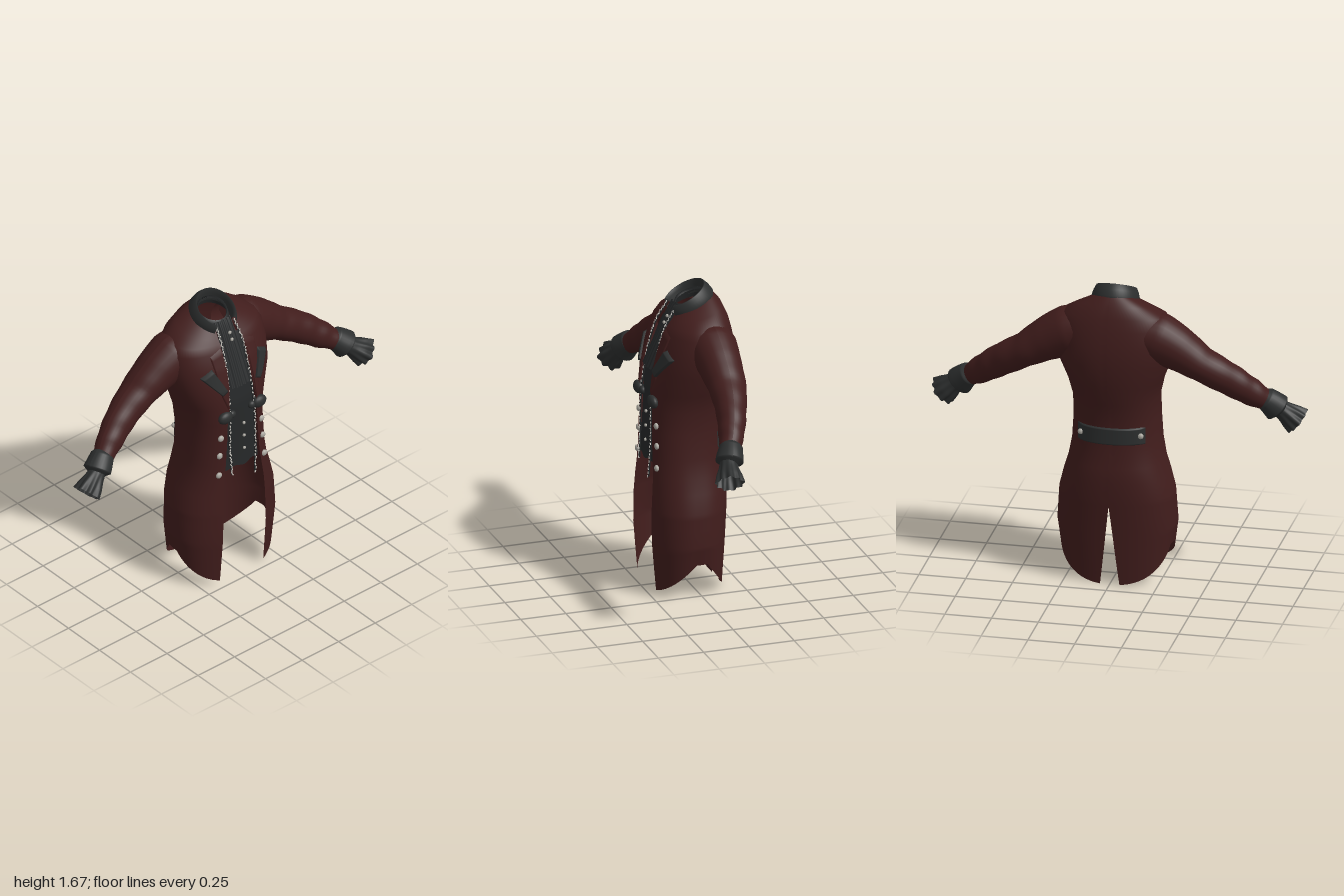
import * as THREE from 'three';

const V = (x, y, z) => new THREE.Vector3(x, y, z);
const lerp = THREE.MathUtils.lerp;
const E = 0.86; // roundness of the body cross-section

// Body sections: height, half width, front z, back z, half opening, tilt
const BODY = [
  [1.575, 0.115, 0.08, -0.14, 0.06, 0.33],
  [1.535, 0.2, 0.105, -0.175, 0.065, 0.24],
  [1.49, 0.275, 0.125, -0.2, 0.068, 0.1],
  [1.44, 0.3, 0.15, -0.217, 0.07, 0],
  [1.35, 0.31, 0.184, -0.234, 0.072, 0],
  [1.24, 0.3, 0.215, -0.238, 0.078, 0],
  [1.12, 0.252, 0.236, -0.222, 0.09, 0],
  [1.02, 0.228, 0.238, -0.198, 0.1, 0],
  [0.9, 0.228, 0.24, -0.172, 0.105, 0],
  [0.76, 0.237, 0.243, -0.172, 0.115, 0],
  [0.66, 0.255, 0.248, -0.188, 0.13, 0],
  [0.58, 0.28, 0.253, -0.196, 0.138, 0],
  [0.48, 0.305, 0.256, -0.192, 0.142, 0],
  [0.3, 0.317, 0.256, -0.18, 0.146, 0],
  [0, 0.3, 0.234, -0.163, 0.148, 0],
];

function section(y) {
  let i = 0;
  while (i < BODY.length - 2 && y < BODY[i + 1][0]) i++;
  const a = BODY[i], b = BODY[i + 1];
  const t = THREE.MathUtils.clamp((a[0] - y) / (a[0] - b[0]), 0, 1);
  return a.map((v, k) => lerp(v, b[k], t));
}

// Depth of the coat surface at x, y; side is 1 in front and -1 behind
function surfaceZ(x, y, side = 1) {
  const [, w, zf, zb] = section(y);
  const s = Math.min(1, Math.abs(x) / w) ** (1 / E);
  return (zf + zb) / 2 + side * ((zf - zb) / 2) * Math.sqrt(1 - s * s) ** E;
}

// Skin over rows of points
function loft(rows) {
  const n = rows[0].length, pos = [], idx = [];
  rows.forEach((r) => r.forEach((p) => pos.push(p.x, p.y, p.z)));
  for (let i = 0; i < rows.length - 1; i++)
    for (let j = 0; j < n - 1; j++) {
      const a = i * n + j, b = a + n;
      idx.push(a, b, a + 1, a + 1, b, b + 1);
    }
  const g = new THREE.BufferGeometry();
  g.setAttribute('position', new THREE.Float32BufferAttribute(pos, 3));
  g.setIndex(idx);
  g.computeVertexNormals();
  return g;
}

function grid(rows, cols, fn) {
  return loft(Array.from({ length: rows + 1 }, (_, i) =>
    Array.from({ length: cols + 1 }, (_, j) => fn(i / rows, j / cols))));
}

// Padded patch on the coat, from four [x, y] corners
function patch([a, b, c, d], height, side = 1) {
  return grid(20, 20, (u, v) => {
    const x = lerp(lerp(a[0], b[0], u), lerp(d[0], c[0], u), v);
    const y = lerp(lerp(a[1], b[1], u), lerp(d[1], c[1], u), v);
    const edge = Math.min(1, 20 * Math.min(u, 1 - u, v, 1 - v));
    return V(x, y, surfaceZ(x, y, side) + side * height * edge);
  });
}

// Tube along a curve with radii [in plane, in depth] per point
function sleeve(points, radii, ripple, rows = 42, cols = 28) {
  const curve = new THREE.CatmullRomCurve3(points.map((p) => V(...p)));
  return grid(rows, cols, (u, v) => {
    const c = curve.getPoint(u), t = curve.getTangent(u);
    const n = V(-t.y, t.x, 0).normalize(), b = V(0, 0, 0).crossVectors(t, n);
    const f = u * (radii.length - 1), i = Math.min(radii.length - 2, Math.floor(f));
    const a = v * Math.PI * 2, k = 1 + ripple(u, a);
    const r = [0, 1].map((m) => lerp(radii[i][m], radii[i + 1][m], f - i) * k);
    return c.addScaledVector(n, r[0] * Math.cos(a)).addScaledVector(b, r[1] * Math.sin(a));
  });
}

// Half of the coat body with open front, curved hem and back vent
function coatHalf() {
  const hem = (z) => (z > 0.05 ? 0.19 - (z - 0.05) : z < -0.02 ? 0.19 + (z + 0.02) * 1.34 : 0.195);
  const heights = BODY.slice(0, -1).map((r) => r[0]);
  heights.push(0.45, 0.39, 0.24, 0.18, 0.12, 0.06, 0);
  heights.sort((a, b) => b - a);
  return loft(heights.map((h) => {
    const [, w, zf, zb, open, tilt] = section(h);
    const vent = Math.max(0, 0.052 * (0.45 - h) / 0.45);
    const a0 = Math.asin((open / w) ** (1 / E));
    const a1 = Math.PI - Math.asin((vent / w) ** (1 / E));
    return Array.from({ length: 41 }, (_, j) => {
      const a = lerp(a0, a1, j / 40), c = Math.cos(a), zc = (zf + zb) / 2;
      const z = zc + ((zf - zb) / 2) * Math.sign(c) * Math.abs(c) ** E;
      const y = h < 0.3 ? lerp(0.3, hem(z), (0.3 - h) / 0.3) : h - tilt * (z - zc);
      return V(w * Math.abs(Math.sin(a)) ** E, y, z);
    });
  }));
}

// Tilted neck band from a profile of [radius, height, tilt, centre z]
function neckBand(profile, gap) {
  return grid(profile.length - 1, 40, (u, v) => {
    const [r, y, k, zc] = profile[Math.round(u * (profile.length - 1))];
    const a = lerp(gap, Math.PI * 2 - gap, v), z = zc + r * Math.cos(a);
    return V(r * Math.sin(a), y - k * z, z);
  });
}

export function createModel() {
  const model = new THREE.Group();
  const mat = (name, color) => new THREE.MeshStandardMaterial({ name, color, side: THREE.DoubleSide });
  const red = mat('dark red cloth', 0x411d1c);
  const grey = mat('charcoal trim', 0x2c2e2e);
  const dark = mat('dark waistcoat', 0x252728);
  const silver = mat('silver', 0xaaa79f);
  const ivory = mat('ivory lace', 0xcac7c0);
  const add = (parent, name, geometry, material) => {
    const m = new THREE.Mesh(geometry, material);
    m.name = name;
    parent.add(m);
    return m;
  };
  const ball = (parent, name, material, p, s) => {
    const m = add(parent, name, new THREE.SphereGeometry(1, 16, 12), material);
    m.position.set(...p);
    m.scale.set(...s);
  };

  for (const side of [1, -1]) {
    const half = new THREE.Group();
    half.name = side > 0 ? 'leftHalf' : 'rightHalf';
    half.scale.x = side;
    model.add(half);
    add(half, 'coatBody', coatHalf(), red);

    // Sleeve blending into the shoulder, turned cuff and wrist ruffle
    add(half, 'sleeve', sleeve(
      [[0.14, 1.4, -0.065], [0.24, 1.374, -0.067], [0.35, 1.32, -0.068], [0.472, 1.246, -0.065], [0.61, 1.163, -0.038], [0.72, 1.085, 0], [0.81, 1.02, 0.04]],
      [[0.115, 0.125], [0.135, 0.13], [0.117, 0.115], [0.091, 0.1], [0.085, 0.08], [0.073, 0.068], [0.05, 0.052]],
      (u, a) => 0.025 * Math.sin(u * 46 + Math.sin(a) * 1.5) * Math.max(0, Math.min(1, u * 2 - 0.5))), red);
    add(half, 'cuff', sleeve(
      [[0.778, 1.057, 0.02], [0.82, 1.018, 0.04], [0.862, 0.975, 0.06]],
      [[0.045, 0.045], [0.061, 0.063], [0.065, 0.066], [0.069, 0.069], [0.073, 0.072], [0.077, 0.074], [0.046, 0.044]],
      (u, a) => 0.02 * Math.sin(a * 3 + u * 4), 24), grey);
    add(half, 'wristRuffle', sleeve(
      [[0.845, 0.995, 0.06], [0.9, 0.95, 0.075], [0.95, 0.907, 0.087]],
      [[0.044, 0.042], [0.052, 0.05], [0.065, 0.063], [0.073, 0.07]],
      (u, a) => u * (0.1 * Math.sin(a * 9) + 0.06 * Math.sin(a * 4 + 1)), 12, 72), grey);

    // Lapel with its dark facing
    add(half, 'lapel', patch([[0.073, 1.46], [0.15, 1.43], [0.125, 1.2], [0.092, 1.1]], 0.006), red);
    add(half, 'lapelFacing', patch([[0.156, 1.368], [0.222, 1.328], [0.124, 1.208], [0.092, 1.228]], 0.017), grey);

    // Front fastener and coat buttons
    ball(half, 'toggle', grey, [0.115, 1.07, surfaceZ(0.115, 1.07) + 0.004], [0.045, 0.035, 0.026]);
    ball(half, 'toggleKnot', grey, [0.068, 1.068, 0.218], [0.024, 0.022, 0.018]);
    for (const [x, y] of [[0.138, 0.94], [0.146, 0.83], [0.154, 0.71]])
      ball(half, 'coatButton', silver, [x, y, surfaceZ(x, y) + 0.005], [0.018, 0.018, 0.012]);
    ball(half, 'beltButton', silver, [0.16, 0.84, surfaceZ(0.16, 0.84, -1) - 0.01], [0.016, 0.016, 0.012]);

    // Beaded lace along the waistcoat edge
    const lace = new THREE.CatmullRomCurve3([[0.06, 1.55, 0.082], [0.068, 1.46, surfaceZ(0.068, 1.46)],
      ...[[0.073, 1.3], [0.083, 1.05], [0.086, 0.85], [0.078, side > 0 ? 0.64 : 0.69]]
        .map(([x, y]) => [x, y, surfaceZ(x, y) - 0.01])].map((p) => V(...p)));
    add(half, 'laceBand', new THREE.TubeGeometry(lace, 40, 0.005, 6), dark);
    const bead = new THREE.BoxGeometry(0.006, 0.013, 0.004);
    for (let i = 0; i < 52; i++) {
      const m = add(half, 'laceBead', bead, ivory);
      m.position.copy(lace.getPoint(i / 51)).add(V(0.003 * Math.sin(i * 2.3), 0, 0.005));
      m.rotation.z = Math.sin(i * 1.7) * 0.5;
    }
  }

  // Waistcoat front and pleated neckcloth
  add(model, 'waistcoat', grid(30, 24, (u, v) => {
    const x = lerp(-1, 1, v) * lerp(0.085, 0.112, u), y = lerp(1.48, 0.725 - 0.008 * Math.cos(v * 12), u);
    return V(x, y, surfaceZ(x, y) - lerp(0.032, 0.014, u));
  }), dark);
  const clothZ = (u) => lerp(0.068, 0.226, u ** 0.9);
  add(model, 'neckcloth', grid(20, 48, (u, v) => {
    const x = lerp(-1, 1, v) * lerp(0.055, 0.068, u), y = lerp(1.565, 1.23, u);
    return V(x, y, clothZ(u) + 0.003 * Math.sin(v * 31) - 0.012 * (2 * v - 1) ** 2);
  }), dark);
  for (const y of [0.98, 0.9, 0.82])
    ball(model, 'waistcoatButton', silver, [0.01, y, surfaceZ(0, y) - 0.014], [0.009, 0.009, 0.008]);
  for (const y of [1.5, 1.465])
    ball(model, 'neckclothButton', silver, [0.012, y, clothZ((1.565 - y) / 0.335) + 0.004], [0.01, 0.01, 0.008]);

  // Standing collar leaning forward, and inner neckband
  add(model, 'collar', neckBand([[0.121, 1.542, 0.42, -0.022], [0.126, 1.56, 0.42, -0.016], [0.118, 1.59, 0.48, -0.003],
    [0.106, 1.619, 0.54, 0.01], [0.1, 1.62, 0.54, 0.01], [0.094, 1.595, 0.45, 0], [0.09, 1.55, 0.4, -0.012]], 0.62), grey);
  add(model, 'neckband', neckBand([[0.094, 1.53, 0.3, -0.018], [0.086, 1.565, 0.32, -0.018],
    [0.079, 1.588, 0.36, -0.02], [0.073, 1.575, 0.36, -0.021]], 0), dark);

  // Half belt across the back
  add(model, 'backBelt', patch([[-0.18, 0.885], [0.18, 0.885], [0.18, 0.79], [-0.18, 0.79]], 0.009, -1), grey);

  return model;
}
